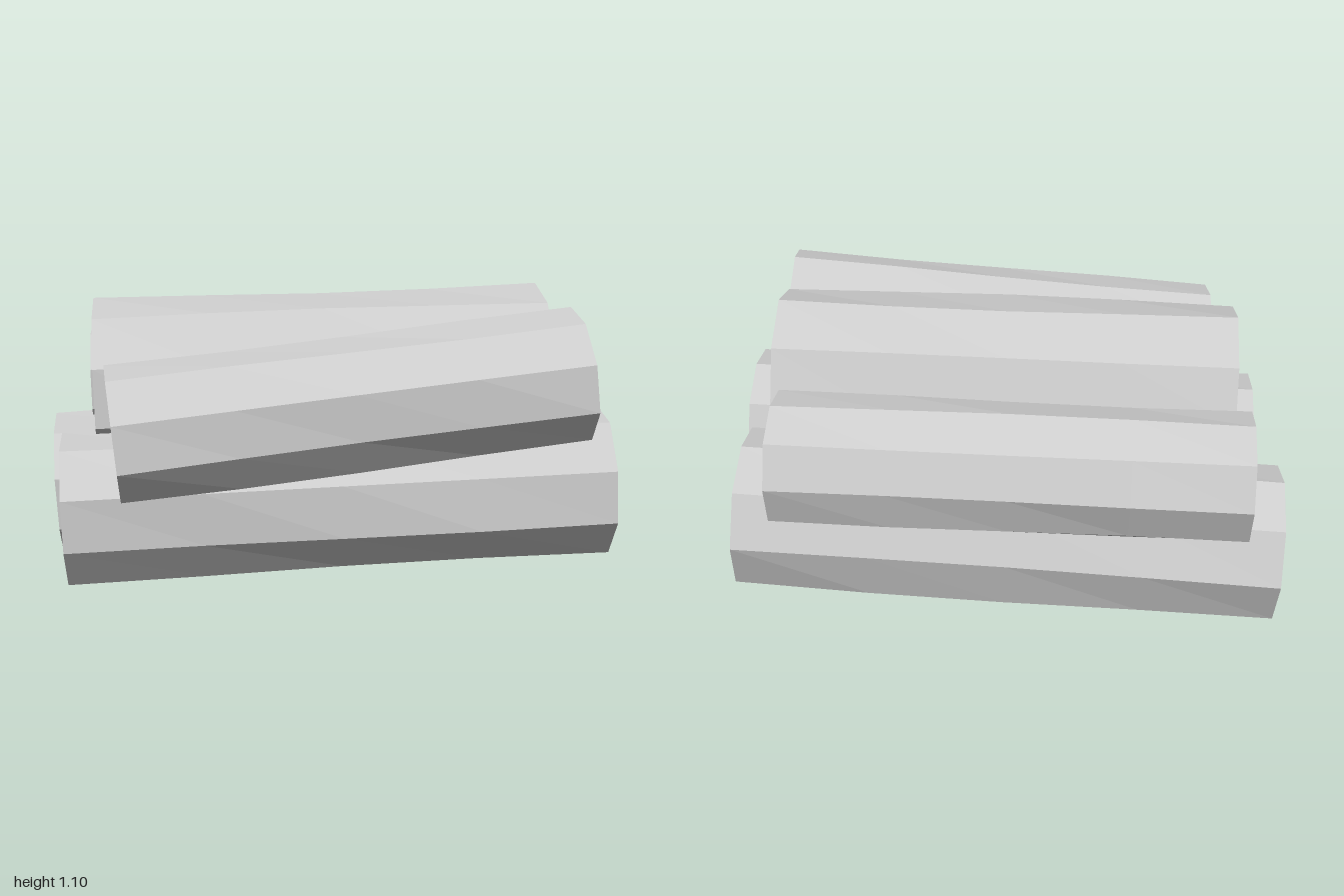
import * as THREE from 'three';

const SIDES = 9, RINGS = 4;

// One rough nine-sided log running from point a to point b
function makeLog(name, a, b, radius, seed) {
  const from = new THREE.Vector3(...a), to = new THREE.Vector3(...b);
  const axis = to.clone().sub(from), length = axis.length();
  const geo = new THREE.CylinderGeometry(radius, radius, length, SIDES, RINGS);
  geo.rotateY(Math.PI);

  // Slightly uneven bark: each corner of each ring gets its own radius
  const pos = geo.attributes.position;
  for (let i = 0; i < pos.count; i++) {
    const x = pos.getX(i), z = pos.getZ(i);
    const turn = Math.round(Math.atan2(x, -z) / (Math.PI * 2) * SIDES);
    const side = (turn + SIDES) % SIDES;
    const ring = Math.round((pos.getY(i) / length + 0.5) * RINGS);
    const s = 1 + 0.022 * Math.sin(side * 2.4 + ring * 1.3 + seed);
    pos.setXYZ(i, x * s, pos.getY(i), z * s);
  }
  geo.rotateZ(-Math.PI / 2); // lay it along x

  const flat = geo.toNonIndexed();
  flat.computeVertexNormals();
  const log = new THREE.Mesh(flat, new THREE.MeshStandardMaterial({ color: 0xcccccc, flatShading: true }));
  log.name = name;
  log.position.copy(from).add(to).multiplyScalar(0.5);
  log.quaternion.setFromUnitVectors(new THREE.Vector3(1, 0, 0), axis.normalize());
  return log;
}

export function createModel() {
  const pile = new THREE.Group();
  pile.name = 'logPile';
  pile.add(
    // Bottom row
    makeLog('bottomFrontLog', [-0.94, 0.372, 0.272], [0.985, 0.432, 0.315], 0.273, 0.5),
    makeLog('bottomBackLog', [-0.985, 0.29, -0.33], [0.945, 0.387, -0.285], 0.289, 2.1),
    // Upper row
    makeLog('topMiddleLog', [-0.825, 0.763, -0.015], [0.82, 0.8, 0.018], 0.306, 3.7),
    makeLog('topFrontLog', [-0.765, 0.688, 0.515], [0.85, 0.845, 0.467], 0.238, 5.2),
    makeLog('topBackLog', [-0.85, 0.677, -0.53], [0.785, 0.702, -0.472], 0.23, 1.3)
  );
  return pile;
}
